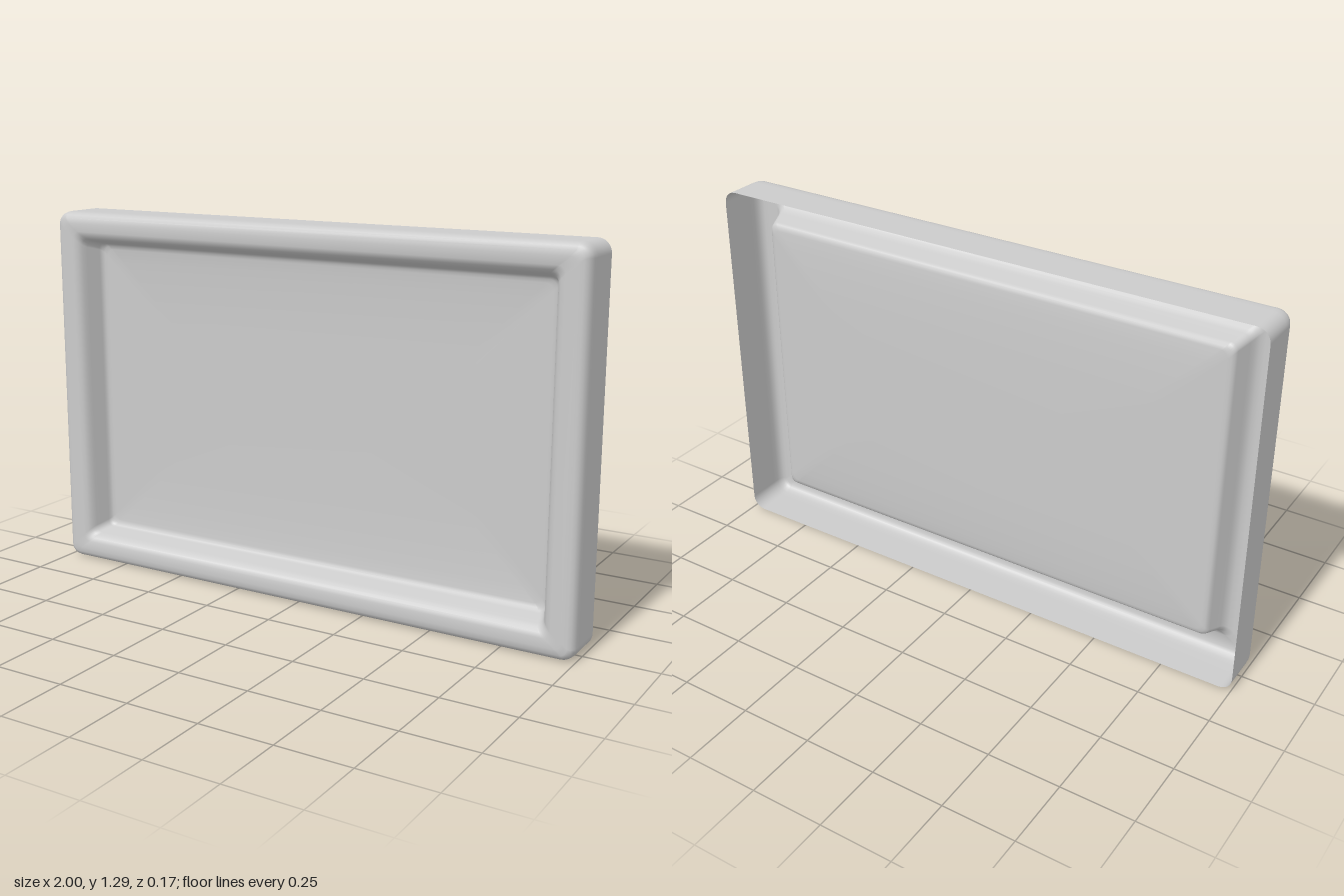
import * as THREE from 'three';

const HALF_W = 1, HALF_H = 0.645, CORNER_STEPS = 6;

// Points of a rounded rectangle, counter-clockwise seen from the front
function roundedLoop([insetX, insetY, z]) {
  const r = Math.max(0.025, 0.045 - insetX);
  const cx = HALF_W - insetX - r, cy = HALF_H - insetY - r;
  const points = [];
  [[1, 1], [-1, 1], [-1, -1], [1, -1]].forEach(([sx, sy], quarter) => {
    for (let k = 0; k <= CORNER_STEPS; k++) {
      const a = (quarter + k / CORNER_STEPS) * Math.PI / 2;
      points.push([sx * cx + r * Math.cos(a), HALF_H + sy * cy + r * Math.sin(a), z]);
    }
  });
  return points;
}

// Skin consecutive loops and close the last one with a fan
function skin(loops) {
  const n = loops[0].length, positions = loops.flat(2), index = [];
  for (let j = 0; j < loops.length - 1; j++) {
    for (let i = 0; i < n; i++) {
      const a = j * n + i, b = j * n + (i + 1) % n;
      index.push(a, b, b + n, a, b + n, a + n);
    }
  }
  const last = (loops.length - 1) * n, centre = loops.length * n;
  positions.push(0, HALF_H, loops[loops.length - 1][0][2]);
  for (let i = 0; i < n; i++) index.push(last + i, last + (i + 1) % n, centre);
  const geometry = new THREE.BufferGeometry();
  geometry.setAttribute('position', new THREE.Float32BufferAttribute(positions, 3));
  geometry.setIndex(index);
  geometry.computeVertexNormals();
  return geometry;
}

export function createModel() {
  const group = new THREE.Group();
  group.name = 'recessedTray';
  const material = new THREE.MeshStandardMaterial({ color: 0xcccccc, side: THREE.DoubleSide });

  // Section as [inset in x, inset in y, z]
  const section = [
    // side wall
    [0, 0, -0.086], [0, 0, 0.03], [0.001, 0.001, 0.052],
    // rounded rim
    [0.004, 0.004, 0.066], [0.011, 0.011, 0.077], [0.022, 0.022, 0.083], [0.04, 0.04, 0.086],
    [0.076, 0.068, 0.085], [0.092, 0.083, 0.079], [0.103, 0.094, 0.067], [0.11, 0.101, 0.05],
    // sloped recess
    [0.126, 0.113, 0.002], [0.13, 0.117, -0.008], [0.138, 0.125, -0.014],
    // slightly dished panel
    [0.15, 0.137, -0.017], [0.2, 0.187, -0.021], [0.28, 0.267, -0.025], [0.4, 0.387, -0.028],
  ];
  const shell = new THREE.Mesh(skin(section.map(roundedLoop)), material);
  shell.name = 'frameAndPanel';
  group.add(shell);
  return group;
}
